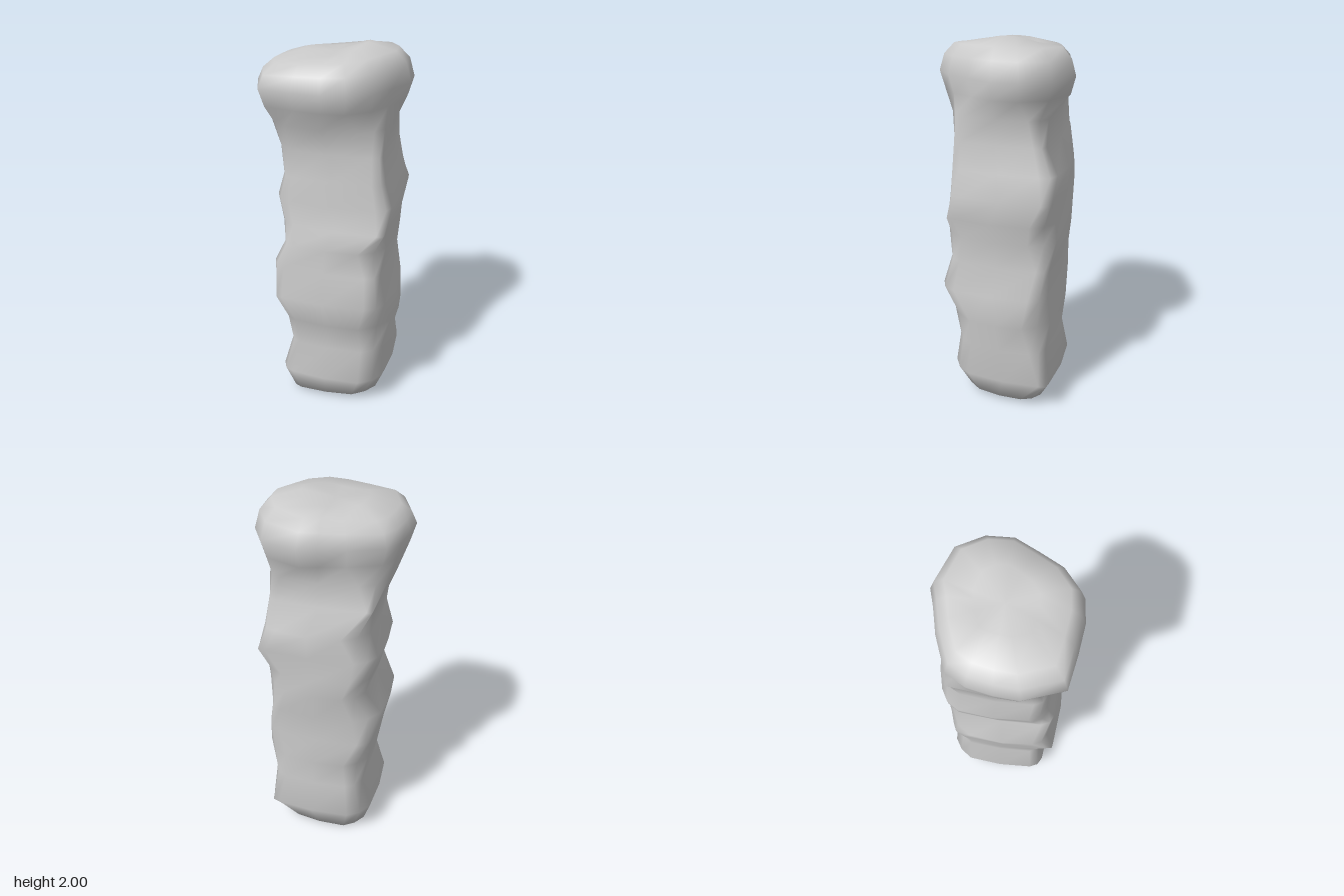
import * as THREE from 'three';

// Each trunk ring: height, then how far the stone reaches in eight directions:
// +x, +x+z, +z, -x+z, -x, -x-z, -z, +x-z
const TRUNK = [
  [0.02, 0.28, 0.28, 0.235, 0.28, 0.22, 0.25, 0.24, 0.3],
  [0.17, 0.33, 0.35, 0.285, 0.34, 0.27, 0.33, 0.315, 0.42],
  [0.36, 0.32, 0.33, 0.25, 0.29, 0.215, 0.29, 0.28, 0.37],
  [0.53, 0.36, 0.35, 0.285, 0.32, 0.245, 0.3, 0.3, 0.375],
  [0.69, 0.345, 0.41, 0.33, 0.395, 0.27, 0.345, 0.29, 0.385],
  [0.85, 0.31, 0.365, 0.28, 0.36, 0.305, 0.33, 0.295, 0.385],
  [1.0, 0.33, 0.36, 0.305, 0.33, 0.225, 0.31, 0.32, 0.37],
  [1.1, 0.335, 0.4, 0.27, 0.31, 0.25, 0.335, 0.315, 0.38],
  [1.23, 0.355, 0.38, 0.255, 0.32, 0.285, 0.35, 0.315, 0.44],
  [1.36, 0.32, 0.36, 0.25, 0.3, 0.24, 0.31, 0.325, 0.4],
  [1.5, 0.3, 0.345, 0.235, 0.3, 0.26, 0.35, 0.265, 0.36],
  [1.63, 0.3, 0.325, 0.265, 0.33, 0.31, 0.32, 0.265, 0.34],
];

// Widest outline of the crown as x, z pairs, from +x towards +z
const CROWN = [
  [0.37, -0.01], [0.31, 0.12], [0.25, 0.24], [0.14, 0.335],
  [0.02, 0.35], [-0.13, 0.335], [-0.295, 0.31], [-0.37, 0.12],
  [-0.365, 0], [-0.345, -0.12], [-0.295, -0.215], [-0.13, -0.285],
  [0, -0.32], [0.09, -0.35], [0.28, -0.285], [0.36, -0.15],
];
const SIDES = CROWN.length;

// Rounded outline: a point on each of the eight flats, then a softened corner
function trunkOutline(reach) {
  const corners = reach.map((a, j) => {
    const t = (j * Math.PI) / 4;
    const along = reach[(j + 1) % 8] * Math.SQRT2 - a;
    return new THREE.Vector2(a, along).rotateAround(new THREE.Vector2(), t);
  });
  return corners.flatMap((c, j) => {
    const flat = corners[(j + 7) % 8].clone().lerp(c, 0.5);
    return [flat.toArray(), c.clone().multiplyScalar(0.95).toArray()];
  });
}

// Crown ring: the outline scaled, with a height that may vary along x
function crownRing(scale, height) {
  return CROWN.map(([x, z]) => [x * scale, height(x * scale), z * scale]);
}

function pillarRings() {
  const trunk = TRUNK.map(([y, ...reach], i) =>
    // The foot is slightly tilted
    trunkOutline(reach).map(([x, z]) => [x, i === 0 ? y + 0.055 * (x + z) : y, z])
  );
  return [
    ...trunk,
    crownRing(0.93, () => 1.73),
    crownRing(1, () => 1.82),
    crownRing(0.93, (x) => 1.895 + 0.05 * x),
    crownRing(0.79, (x) => 1.945 + 0.08 * x),
    crownRing(0.42, (x) => 1.955 + 0.12 * x + 1.2 * x * x),
  ];
}

function pillarGeometry() {
  const rings = pillarRings();
  const positions = rings.flat(2);
  const last = rings.length - 1;
  const index = [];

  // Side walls
  for (let i = 0; i < last; i++) {
    for (let j = 0; j < SIDES; j++) {
      const a = i * SIDES + j;
      const b = i * SIDES + ((j + 1) % SIDES);
      index.push(a, a + SIDES, b, b, a + SIDES, b + SIDES);
    }
  }

  // Flat underside and dished top
  const bottom = positions.length / 3;
  positions.push(0.03, 0.02, 0, 0, 1.955, 0);
  for (let j = 0; j < SIDES; j++) {
    const k = (j + 1) % SIDES;
    index.push(bottom, j, k);
    index.push(bottom + 1, last * SIDES + k, last * SIDES + j);
  }

  const geometry = new THREE.BufferGeometry();
  geometry.setAttribute('position', new THREE.Float32BufferAttribute(positions, 3));
  geometry.setIndex(index);
  geometry.computeVertexNormals();
  return geometry;
}

export function createModel() {
  const group = new THREE.Group();
  group.name = 'rockPillar';
  const stone = new THREE.Mesh(
    pillarGeometry(),
    new THREE.MeshStandardMaterial({ color: 0xcccccc })
  );
  stone.name = 'stoneColumn';
  group.add(stone);
  return group;
}
